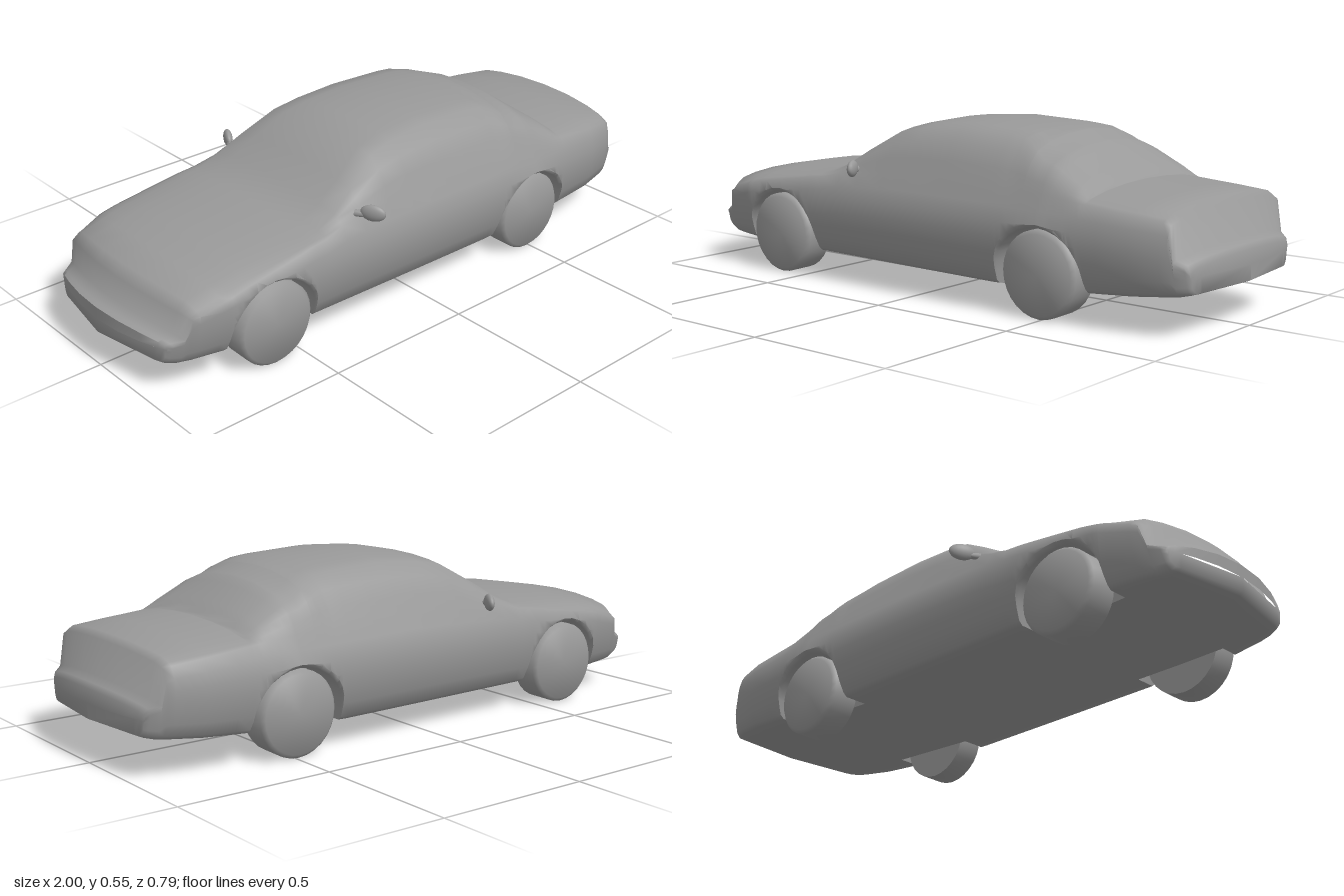
import * as THREE from 'three';
import { toCreasedNormals } from 'three/addons/utils/BufferGeometryUtils.js';

const WHEELS = [-0.6, 0.49];           // axle positions along x
const ARCH_R = 0.158, ARCH_H = 0.15, ARCH_Y = 0.125;

// Body curves along the length: [x, value]
const TOP = [[-1, 0.2], [-0.95, 0.215], [-0.93, 0.28], [-0.9, 0.31], [-0.7, 0.345], [-0.5, 0.365], [-0.4, 0.375],
  [-0.33, 0.405], [-0.25, 0.455], [-0.14, 0.522], [-0.05, 0.54], [0.1, 0.551], [0.3, 0.543], [0.42, 0.53],
  [0.5, 0.5], [0.6, 0.428], [0.64, 0.397], [0.7, 0.392], [0.92, 0.375], [0.945, 0.36], [0.962, 0.255], [0.99, 0.242], [1, 0.225]];
const EDGE = [[-1, 0.25], [-0.9, 0.27], [-0.5, 0.285], [-0.38, 0.295], [-0.25, 0.272], [-0.12, 0.23], [0.1, 0.22],
  [0.36, 0.222], [0.45, 0.265], [0.6, 0.278], [0.9, 0.27], [1, 0.25]];
const CROWN = [[-1, 0.02], [0.36, 0.02], [0.45, 0.055], [0.5, 0.05], [0.62, 0.025], [1, 0.02]];
const BELT = [[-1, 0.2], [-0.93, 0.25], [-0.7, 0.3], [-0.5, 0.33], [-0.3, 0.365], [0, 0.38], [0.5, 0.37], [0.94, 0.33], [1, 0.25]];
const WIDTH = [[-1, 0.29], [-0.97, 0.305], [-0.9, 0.325], [-0.75, 0.347], [-0.5, 0.356], [0, 0.363], [0.5, 0.367],
  [0.8, 0.348], [0.93, 0.325], [0.98, 0.305], [1, 0.285]];
const FLOOR = [[-1, 0.115], [-0.97, 0.098], [-0.6, 0.09], [0.3, 0.084], [0.66, 0.1], [0.98, 0.124], [1, 0.133]];

function at(table, x) {
  for (let i = 1; i < table.length; i++) {
    const [x0, y0] = table[i - 1], [x1, y1] = table[i];
    if (x <= x1) return y0 + (y1 - y0) * Math.max(0, (x - x0) / (x1 - x0));
  }
  return table[table.length - 1][1];
}

// Height of the lower body edge, lifted over the wheels
function lowerEdge(x) {
  for (const c of WHEELS) {
    const d = Math.abs(x - c) / ARCH_R;
    if (d <= 1 + 1e-6) return ARCH_Y + ARCH_H * Math.sqrt(Math.max(0, 1 - d * d));
  }
  return at(FLOOR, x);
}

// Half of a cross-section, from the top centre down to the floor centre, as [z, y]
function halfSection(x) {
  const top = at(TOP, x), edge = at(EDGE, x), crown = at(CROWN, x);
  const floor = at(FLOOR, x), low = lowerEdge(x), w = at(WIDTH, x);
  const sideZ = y => w - (y < 0.25 ? 1.6 : 2.8) * (y - 0.25) ** 2;
  const belt = Math.min(at(BELT, x), top - crown - 0.012);
  const beltZ = sideZ(belt), rise = top - crown - belt, bulge = 0.08 * rise;
  const pts = [[0, top], [edge * 0.4, top - crown * 0.13], [edge * 0.75, top - crown * 0.5], [edge, top - crown]];
  for (const t of [0.33, 0.67])
    pts.push([edge + (beltZ - edge) * t + bulge, top - crown - rise * t + bulge * 0.6]);
  // Side rows keep their height and stop at the arch
  const end = low + 0.012;
  for (let k = 0; k <= 6; k++) {
    const y = Math.max(belt + (floor + 0.012 - belt) * k / 6, end);
    pts.push([sideZ(y), y]);
  }
  pts.push([sideZ(end) - 0.014, low], [0.235, low], [0.235, floor], [0, floor]);
  return pts;
}

function bodyGeometry() {
  // Stations: every profile point plus a fan of stations around each arch
  let xs = TOP.map(p => p[0]).concat([-0.985, -0.8, 0.02, 0.2, 0.36, 0.8]);
  for (const c of WHEELS) {
    xs = xs.filter(x => Math.abs(Math.abs(x - c) - ARCH_R) > 0.006);
    for (let k = 0; k <= 14; k++) xs.push(c - ARCH_R * Math.cos(Math.PI * k / 14));
    xs.push(c - ARCH_R - 0.004, c + ARCH_R + 0.004);
  }
  xs.sort((a, b) => a - b);

  const pos = [], idx = [];
  let n = 0;
  const addRing = (x, foldY) => {
    const half = halfSection(x);
    const ring = half.concat(half.slice(1, -1).reverse().map(([z, y]) => [-z, y]));
    n = ring.length;
    // Bow the nose and tail in plan
    const nose = 0.062 * Math.max(0, (-0.76 - x) / 0.24), tail = 0.035 * Math.max(0, (x - 0.8) / 0.2);
    for (const [z, y] of ring) pos.push(x + (nose - tail) * (z / 0.29) ** 2, foldY ?? y, z);
  };
  // The end rings fold to a line and close the bumpers
  addRing(-1, 0.16);
  xs.forEach(x => addRing(x));
  addRing(1, 0.18);
  for (let i = 0; i <= xs.length; i++)
    for (let j = 0; j < n; j++) {
      const a = i * n + j, b = i * n + (j + 1) % n;
      idx.push(a, b, b + n, a, b + n, a + n);
    }
  const g = new THREE.BufferGeometry();
  g.setAttribute('position', new THREE.Float32BufferAttribute(pos, 3));
  g.setIndex(idx);
  return toCreasedNormals(g, 1.1);
}

export function createModel() {
  const car = new THREE.Group();
  car.name = 'car';
  const paint = new THREE.MeshStandardMaterial({ color: 0x999999 });
  const add = (name, geometry, parent = car) => {
    const m = new THREE.Mesh(geometry, paint);
    m.name = name;
    parent.add(m);
    return m;
  };

  add('body', bodyGeometry());

  // Wheels: solid discs with a softened outer shoulder
  const profile = [[0, 0], [0.133, 0], [0.134, 0.088], [0.122, 0.1], [0, 0.1]].map(p => new THREE.Vector2(...p));
  const wheelGeo = toCreasedNormals(new THREE.LatheGeometry(profile, 28), 1);
  // Wing mirrors: flattened pods on short arms
  const podGeo = new THREE.SphereGeometry(1, 16, 12);
  const armGeo = new THREE.CylinderGeometry(0.009, 0.012, 0.04, 8);

  for (const side of [1, -1]) {
    WHEELS.forEach((x, i) => {
      const wheel = add((i ? 'rear' : 'front') + 'Wheel', wheelGeo);
      wheel.position.set(x, 0.134, side * 0.246);
      wheel.rotation.x = side * Math.PI / 2;
    });
    const mirror = new THREE.Group();
    mirror.name = 'wingMirror';
    mirror.position.set(-0.24, 0.386, side * 0.361);
    mirror.rotation.y = side * 0.5;
    const pod = add('mirrorHousing', podGeo, mirror);
    pod.scale.set(0.015, 0.027, 0.041);
    const arm = add('mirrorArm', armGeo, mirror);
    arm.position.set(0, -0.008, -side * 0.038);
    arm.rotation.x = side * Math.PI / 2;
    car.add(mirror);
  }
  return car;
}
